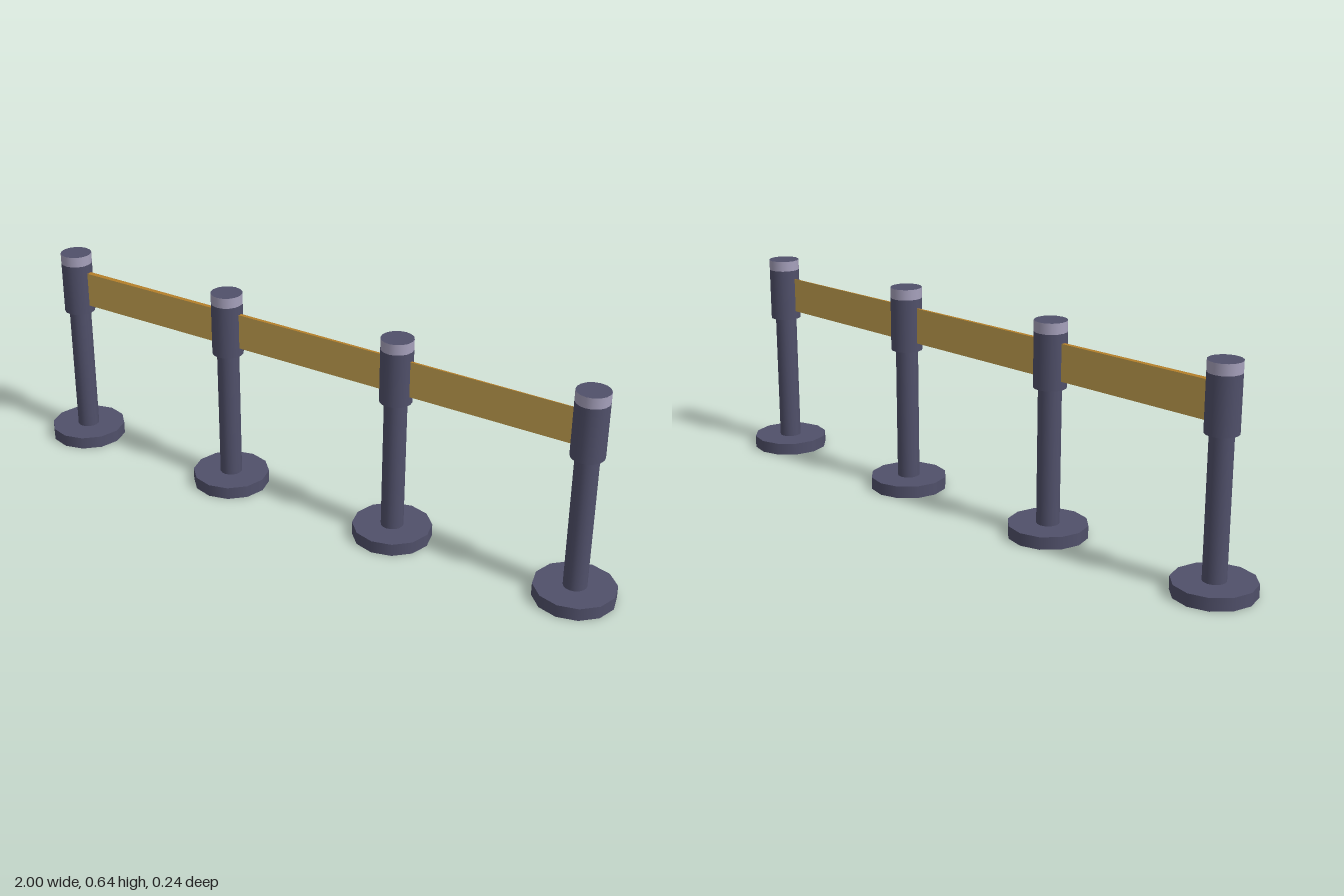
import * as THREE from 'three';

const mat = (name, color, side = THREE.FrontSide) => {
  const m = new THREE.MeshStandardMaterial({ color, side });
  m.name = name;
  return m;
};

export function createModel() {
  const dark = mat('dark slate', 0x50506a);
  const silver = mat('pale silver', 0xa6a1bc);
  const gold = mat('gold webbing', 0xc9a552);
  const edge = mat('webbing edge', 0xb57f2a);
  const model = new THREE.Group();
  model.name = 'queueBarrier';

  // Upright cylinder between two heights
  const drum = (name, r, y0, y1, sides, material) => {
    const mesh = new THREE.Mesh(new THREE.CylinderGeometry(r, r, y1 - y0, sides), material);
    mesh.position.y = (y0 + y1) / 2;
    mesh.name = name;
    return mesh;
  };

  // Four identical posts: weighted foot, pole, collar and a banded cap
  const xs = [-0.881, -0.294, 0.293, 0.881];
  xs.forEach((x, i) => {
    const post = new THREE.Group();
    post.name = 'post' + (i + 1);
    post.add(
      drum('base', 0.119, 0, 0.038, 12, dark),
      drum('pole', 0.034, 0.038, 0.447, 16, dark),
      drum('collar', 0.048, 0.447, 0.61, 16, dark),
      drum('cap', 0.048, 0.61, 0.642, 16, [silver, dark, dark])
    );
    post.position.x = x;
    model.add(post);
  });

  // Belt spans between neighbouring posts, thinning steadily towards +x
  const backZ = (x) => THREE.MathUtils.mapLinear(x, xs[0], xs[3], -0.012, 0.004);
  for (let i = 0; i < 3; i++) {
    const length = xs[i + 1] - xs[i];
    const geo = new THREE.BoxGeometry(length, 0.109, 0.01);
    geo.translate((xs[i] + xs[i + 1]) / 2, 0.5275, 0);
    const p = geo.attributes.position;
    for (let k = 0; k < p.count; k++) p.setZ(k, p.getZ(k) > 0 ? 0.006 : backZ(p.getX(k)));
    geo.computeVertexNormals();
    const belt = new THREE.Mesh(geo, [gold, gold, edge, edge, gold, gold]);
    belt.name = 'belt' + (i + 1);
    model.add(belt);
  }
  return model;
}
